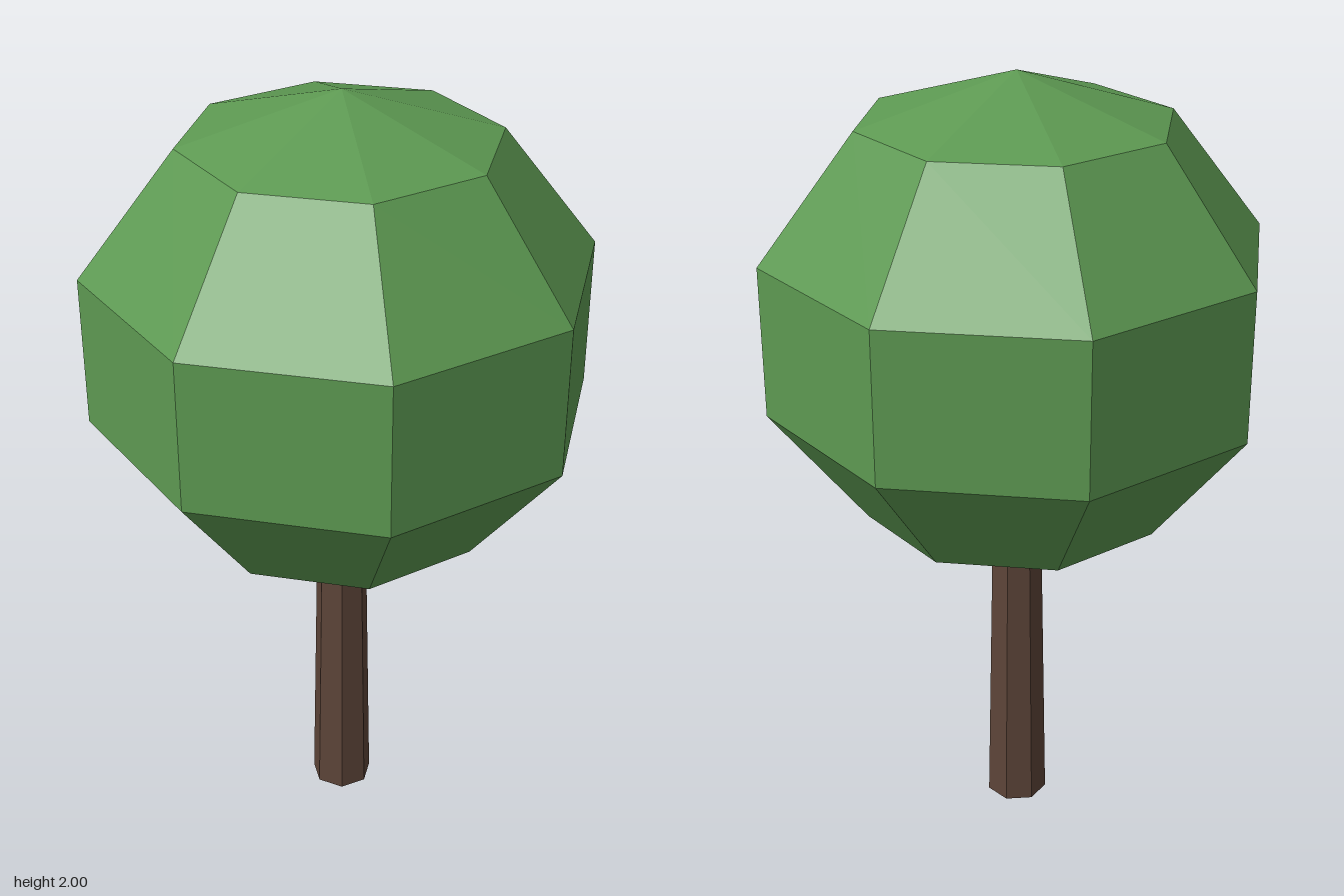
import * as THREE from 'three';

export function createModel() {
  const tree = new THREE.Group();
  tree.name = 'tree';

  const leafGreen = new THREE.MeshStandardMaterial({ color: 0x5d9952 });
  leafGreen.name = 'leaf green';
  const barkBrown = new THREE.MeshStandardMaterial({ color: 0x5c4438 });
  barkBrown.name = 'bark brown';
  leafGreen.flatShading = barkBrown.flatShading = true;

  // Trunk: tapered seven-sided post, its top tucked into the crown
  const height = 0.84;
  const trunk = new THREE.Mesh(
    new THREE.CylinderGeometry(0.064, 0.08, height, 7, 1, false, -Math.PI / 2),
    barkBrown
  );
  trunk.name = 'trunk';
  trunk.position.y = height / 2;
  tree.add(trunk);

  // Crown: eight-sided faceted ball, slightly squashed, flat sides facing the axes
  const crownGeometry = new THREE.SphereGeometry(1, 8, 5);
  crownGeometry.rotateY(Math.PI / 8);
  crownGeometry.scale(0.654, 0.611, 0.654);
  const crown = new THREE.Mesh(crownGeometry, leafGreen);
  crown.name = 'crown';
  crown.position.y = 2 - 0.611;
  tree.add(crown);

  return tree;
}
